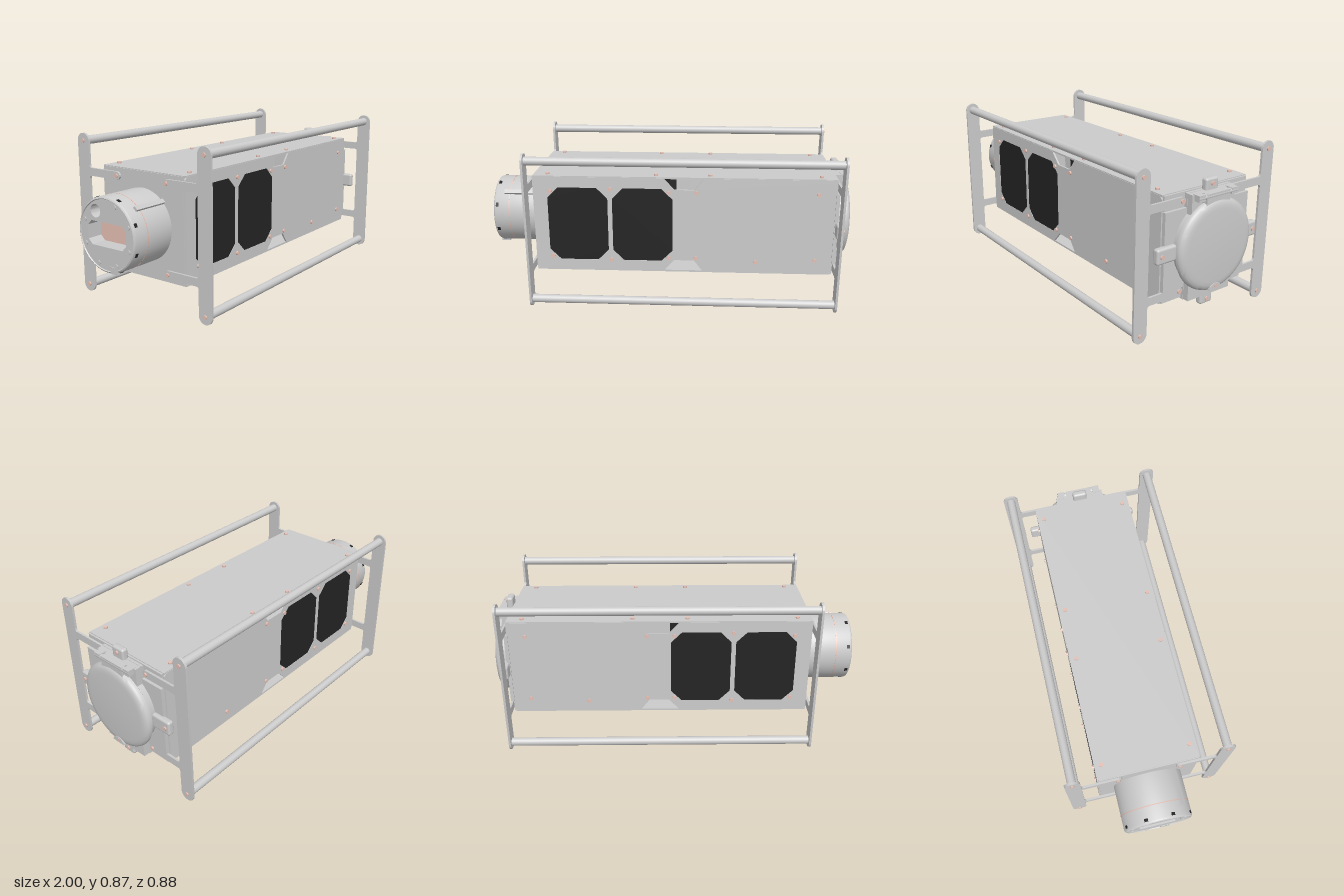
import * as THREE from 'three';
import { RoundedBoxGeometry } from 'three/addons/geometries/RoundedBoxGeometry.js';
import { toCreasedNormals } from 'three/addons/utils/BufferGeometryUtils.js';

const CY = 0.435; // height of the body axis

export function createModel() {
  const root = new THREE.Group();
  const grey = new THREE.MeshStandardMaterial({ color: 0xcccccc });
  const black = new THREE.MeshStandardMaterial({ color: 0x242424 });
  const copper = new THREE.MeshStandardMaterial({ color: 0xe6c0b4 });

  const add = (name, geo, mat = grey, parent = root) => {
    const m = new THREE.Mesh(geo, mat);
    m.name = name;
    parent.add(m);
    return m;
  };
  const group = (name) => {
    const g = new THREE.Group();
    g.name = name;
    root.add(g);
    return g;
  };
  const box = (name, x0, x1, y0, y1, z0, z1, mat, parent) =>
    add(name, new THREE.BoxGeometry(x1 - x0, y1 - y0, z1 - z0)
      .translate((x0 + x1) / 2, (y0 + y1) / 2, (z0 + z1) / 2), mat, parent);
  const poly = (pts) => new THREE.Shape(pts.map(([x, y]) => new THREE.Vector2(x, y)));
  const extrude = (shape, depth) =>
    new THREE.ExtrudeGeometry(shape, { depth, bevelEnabled: false, curveSegments: 16 });
  // Plate drawn with (-z, y) coordinates and thickened along +x
  const endExtrude = (shape, x0, x1) =>
    toCreasedNormals(extrude(shape, x1 - x0).rotateY(Math.PI / 2).translate(x0, 0, 0), 0.6);
  // Cylinder lying along x
  const rod = (r, x0, x1, y, z, seg = 20) =>
    new THREE.CylinderGeometry(r, r, x1 - x0, seg).rotateZ(Math.PI / 2).translate((x0 + x1) / 2, y, z);
  const octagon = (x0, x1, y0, y1, c) => [
    [x0 + c, y0], [x1 - c, y0], [x1, y0 + c], [x1, y1 - c],
    [x1 - c, y1], [x0 + c, y1], [x0, y1 - c], [x0, y0 + c]];

  // Hollow body: top, bottom and end plates
  const body = group('body');
  const X0 = -0.74, X1 = 0.895;
  box('topPlate', X0, X1, 0.7, 0.71, -0.271, 0.271, grey, body);
  box('bottomPlate', X0, X1, 0.16, 0.17, -0.271, 0.271, grey, body);
  box('leftEndPlate', 0.885, 0.905, 0.163, 0.706, -0.265, 0.265, grey, body);
  box('rightEndPlate', -0.745, -0.725, 0.163, 0.706, -0.265, 0.265, grey, body);

  // Side plates with notched edges and two vent openings each
  const fans = [[-0.665, -0.335], [-0.31, 0.02]];
  const side = poly([
    [X0, 0.18], [X0 + 0.015, 0.165], [-0.03, 0.165], [0.03, 0.23], [0.14, 0.23], [0.19, 0.165],
    [X1 - 0.015, 0.165], [X1, 0.18], [X1, 0.69], [X1 - 0.015, 0.705],
    [0.19, 0.705], [0.14, 0.64], [0.03, 0.64], [-0.03, 0.705], [X0 + 0.015, 0.705], [X0, 0.69]]);
  for (const [a, b] of fans)
    side.holes.push(poly(octagon(a, b, 0.225, 0.645, 0.06)));
  const sideScrews = [];
  for (const x of [-0.65, 0, 0.15, 0.805]) sideScrews.push([x, 0.625], [x, 0.245]);
  sideScrews.push([-0.32, 0.64], [-0.32, 0.228], [0.48, 0.228]);
  for (const s of [1, -1]) {
    add('sidePlate', extrude(side, 0.01).translate(0, 0, s * 0.268 - 0.005), grey, body);
    for (const [a, b] of fans)
      add('ventPanel', extrude(poly(octagon(a, b, 0.225, 0.645, 0.06)), 0.006)
        .translate(0, 0, s * 0.268 - 0.003), black, body);
    for (const [x, y] of sideScrews)
      add('sideScrew', new THREE.CylinderGeometry(0.011, 0.011, 0.012, 12)
        .rotateX(Math.PI / 2).translate(x, y, s * 0.276), copper, body);
    for (const x of [-0.665, -0.07, 0.225, 0.82])
      for (const y of [0.713, 0.157])
        add('plateScrew', new THREE.CylinderGeometry(0.011, 0.011, 0.012, 12)
          .translate(x, y, s * 0.235), copper, body);
  }

  // Handle frames: upright bars with two arms, joined by four rails
  const frame = group('handleFrame');
  const bracketShape = (s) => {
    const p = new THREE.Shape();
    const f = 0.015, xi = 0.36, xo = 0.44, tip = 0.165, r = 0.021;
    p.moveTo(xo, 0.04);
    p.lineTo(xo, 0.825);
    p.absarc(0.4, 0.825, 0.04, 0, Math.PI, false);
    for (const y of [0.665, 0.205]) {
      p.lineTo(xi, y + r + f);
      p.quadraticCurveTo(xi, y + r, xi - f, y + r);
      p.lineTo(tip, y + r);
      p.absarc(tip, y, r, Math.PI / 2, Math.PI * 1.5, false);
      p.lineTo(xi - f, y - r);
      p.quadraticCurveTo(xi, y - r, xi, y - r - f);
    }
    p.lineTo(xi, 0.04);
    p.absarc(0.4, 0.04, 0.04, Math.PI, Math.PI * 2, false);
    return new THREE.Shape(p.getPoints(12).map((v) => new THREE.Vector2(s * v.x, v.y)));
  };
  for (const s of [1, -1]) {
    for (const [a, b] of [[0.905, 0.917], [-0.757, -0.745]]) {
      add('endBracket', endExtrude(bracketShape(s), a, b), grey, frame);
      const out = a > 0 ? [b - 0.002, b + 0.007] : [a - 0.007, a + 0.002];
      for (const [y, z] of [[0.825, 0.4], [0.04, 0.4], [0.665, 0.165], [0.205, 0.165]])
        add('bracketScrew', rod(0.011, ...out, y, s * z, 14), copper, frame);
    }
    for (const y of [0.825, 0.04])
      add('rail', rod(0.023, -0.747, 0.907, y, s * 0.4, 24), grey, frame);
  }

  // Cross-shaped mount behind the round cover
  const mount = group('coverMount');
  add('mountBlock', endExtrude(poly([
    [-0.14, 0.155], [0.14, 0.155], [0.14, 0.225], [0.27, 0.225], [0.27, 0.63], [0.14, 0.63],
    [0.14, 0.7], [-0.14, 0.7], [-0.14, 0.63], [-0.27, 0.63], [-0.27, 0.225], [-0.14, 0.225]]),
    0.9, 0.92), grey, mount);
  box('mountCore', 0.915, 0.952, 0.158, 0.698, -0.138, 0.138, grey, mount);
  add('mountRing', rod(0.215, 0.915, 0.96, CY, 0, 64), grey, mount);
  for (let i = 0; i < 4; i++) {
    const a = i * Math.PI / 2, c = Math.cos(a), s = Math.sin(a);
    const tab = add('mountTab', new RoundedBoxGeometry(0.036, 0.12, 0.08, 3, 0.012), grey, mount);
    tab.rotation.x = a;
    tab.position.set(0.923, CY - 0.007 + 0.267 * c, 0.267 * s);
    add('tabScrew', rod(0.011, 0.935, 0.948, CY - 0.007 + 0.3 * c, 0.3 * s, 14), copper, mount);
  }

  // Round cover with a soft rim, hinge and latch
  const cover = group('roundCover');
  const rim = [[0, 0], [0.225, 0], [0.235, 0.006], [0.235, 0.014], [0.231, 0.025],
    [0.221, 0.034], [0.205, 0.039], [0.185, 0.041], [0, 0.041]];
  add('coverDisc', toCreasedNormals(new THREE.LatheGeometry(rim.map(([r, h]) => new THREE.Vector2(r, h)), 72)
    .rotateZ(-Math.PI / 2).translate(0.955, CY - 0.005, 0), 0.7), grey, cover);
  box('hingeLeaf', 0.95, 0.985, 0.64, 0.698, -0.075, 0.075, grey, cover);
  add('hingePin', new THREE.CylinderGeometry(0.014, 0.014, 0.25, 16)
    .rotateX(Math.PI / 2).translate(0.972, 0.684, 0), grey, cover);
  for (const s of [1, -1])
    box('hingeLug', 0.94, 0.985, 0.668, 0.7, s * 0.105 - 0.02, s * 0.105 + 0.02, grey, cover);
  const latch = new THREE.Shape();
  latch.moveTo(0.04, 0.204);
  latch.absellipse(0, 0.204, 0.04, 0.032, 0, Math.PI, false);
  add('latch', endExtrude(latch, 0.95, 0.999), grey, cover);
  add('latchScrew', rod(0.01, 0.99, 1.0, 0.22, 0, 14), copper, cover);

  // Round connector housing with an open end face
  const housing = group('connectorHousing');
  const R = 0.188;
  const wall = [[0.17, 0.012], [0.178, 0], [0.184, 0.004], [R, 0.014], [R, 0.26]];
  add('housingWall', toCreasedNormals(new THREE.LatheGeometry(wall.map(([r, h]) => new THREE.Vector2(r, -h)), 64)
    .rotateZ(Math.PI / 2).scale(-1, 1, 1).rotateY(Math.PI).translate(-1, CY, 0), 0.6),
    new THREE.MeshStandardMaterial({ color: 0xcccccc, side: THREE.DoubleSide }), housing)
    .geometry.computeBoundingBox();
  const wallMesh = housing.children[0];
  // Keep the wall running inward from the outer face
  if (wallMesh.geometry.boundingBox.min.x < -1.05)
    wallMesh.geometry.scale(-1, 1, 1).translate(-2, 0, 0);
  const face = new THREE.Shape();
  face.absarc(0, CY, 0.18, 0, Math.PI * 2, false);
  face.holes.push(poly(octagon(-0.125, 0.125, CY - 0.06, CY + 0.06, 0.025)));
  const port = new THREE.Path();
  port.absarc(0.07, CY + 0.11, 0.033, 0, Math.PI * 2, true);
  face.holes.push(port);
  add('endFace', endExtrude(face, -0.995, -0.9), grey, housing);
  add('seamRing', rod(R + 0.001, -0.913, -0.908, CY, 0, 64), copper, housing);
  for (let i = 0; i < 8; i++) {
    const a = (i + 0.5) * Math.PI / 4;
    const slot = box('rimSlot', -0.008, 0.008, -0.01, 0.01, -0.003, 0.003, black, housing);
    slot.position.set(-0.978, CY + (R - 0.001) * Math.sin(a), (R - 0.001) * Math.cos(a));
    slot.rotation.x = -a;
    if (i !== 2)
      add('faceScrew', rod(0.011, -1, -0.992, CY + 0.155 * Math.sin(a), 0.155 * Math.cos(a), 12), grey, housing);
  }
  const key = box('keyRib', -0.94, -0.74, -0.012, 0.012, -0.012, 0.012, grey, housing);
  key.position.set(0, CY + 0.134, 0.134);
  key.rotation.x = Math.PI / 4;
  box('lockTab', -1, -0.95, 0.25, 0.285, 0.02, 0.07, grey, housing);

  return root;
}
